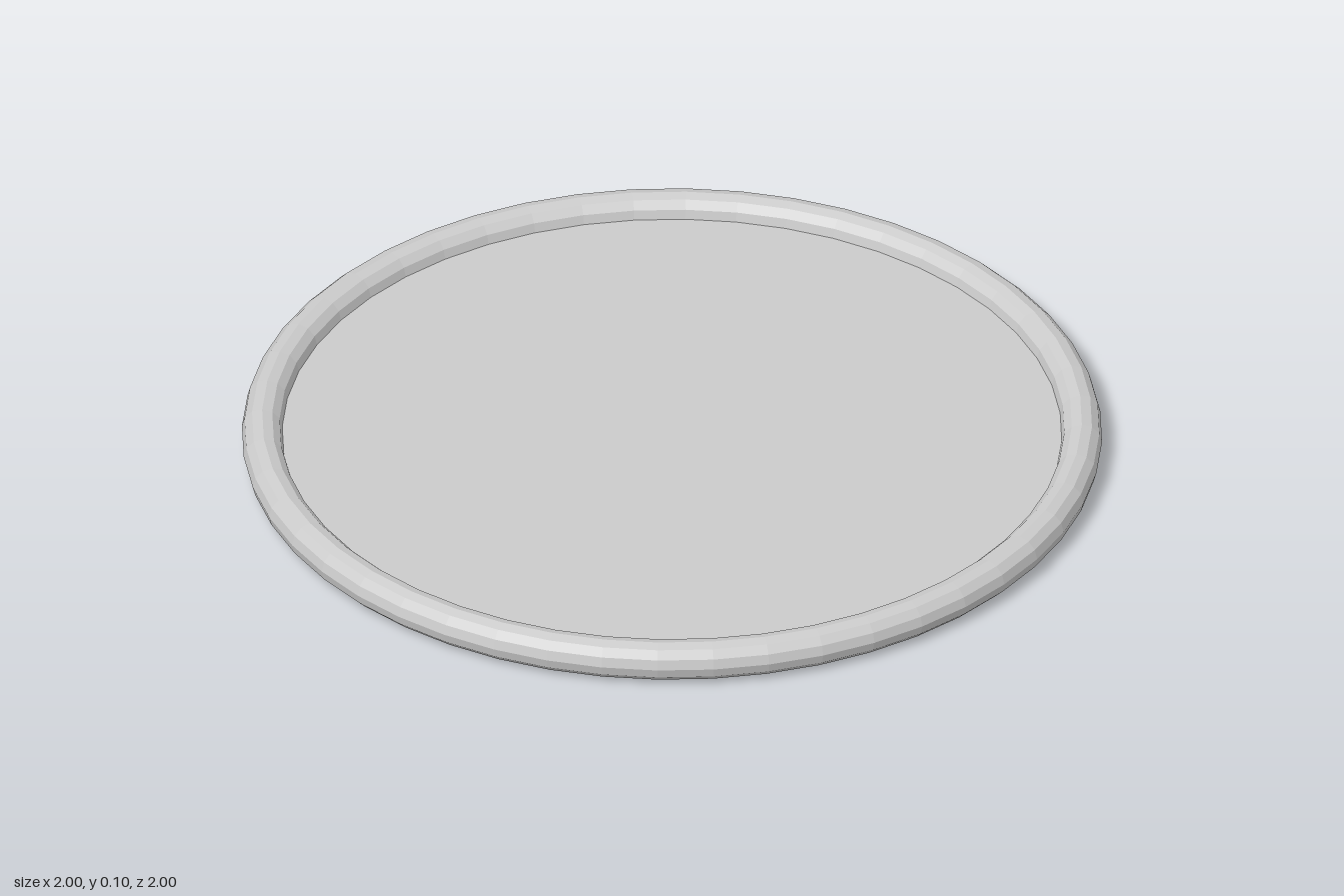
import * as THREE from 'three';

export function createModel() {
  const group = new THREE.Group();
  const material = new THREE.MeshStandardMaterial({ color: 0xcccccc, flatShading: true });
  const tube = 0.047, radius = 1 - tube, segments = 48;

  // Rounded rim lying flat
  const rim = new THREE.Mesh(new THREE.TorusGeometry(radius, tube, 12, segments), material);
  rim.name = 'rim';
  rim.rotation.x = -Math.PI / 2;
  rim.position.y = tube + 0.002;
  group.add(rim);

  // Solid base disc filling the rim up to half its height
  const thickness = 0.05;
  const base = new THREE.Mesh(new THREE.CylinderGeometry(radius, radius, thickness, segments), material);
  base.name = 'baseDisc';
  base.position.y = thickness / 2;
  group.add(base);

  return group;
}
